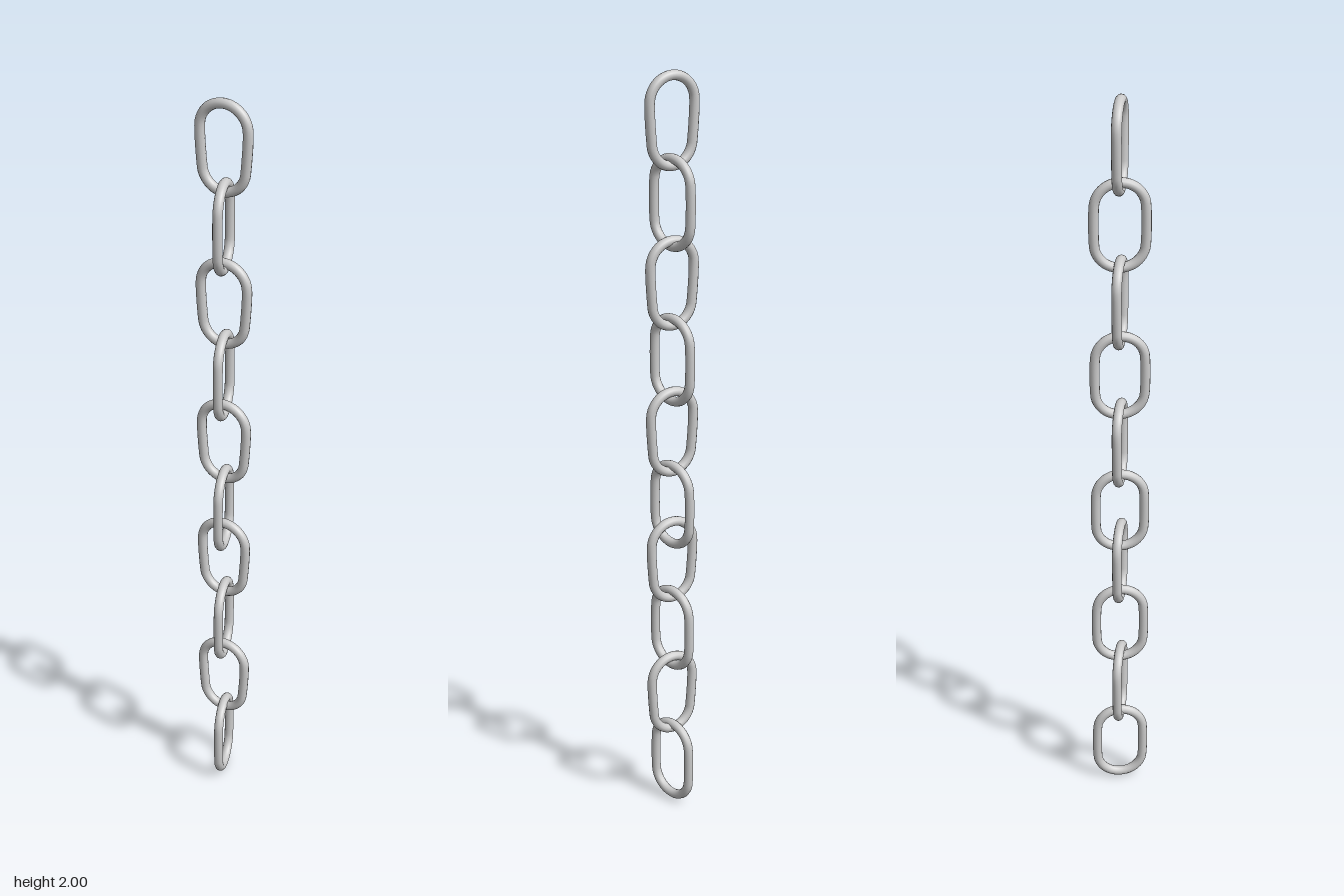
import * as THREE from 'three';

const WIRE = 0.0125;      // wire radius
const HALF_WIDTH = 0.0625; // centre line of the link
const HALF_HEIGHT = 0.109;

// Closed oblong wire loop in the XY plane; taper narrows its lower end
function linkGeometry(taper) {
  const points = [];
  const steps = 10;
  const straight = HALF_HEIGHT - HALF_WIDTH;
  for (const side of [1, -1]) {
    const radius = side > 0 ? HALF_WIDTH : HALF_WIDTH - taper;
    for (let i = 0; i <= steps; i++) {
      const a = (i / steps) * Math.PI;
      points.push(new THREE.Vector3(
        side * radius * Math.cos(a),
        side * (straight + HALF_WIDTH * Math.sin(a)),
        0
      ));
    }
  }
  const curve = new THREE.CatmullRomCurve3(points, true, 'centripetal');
  return new THREE.TubeGeometry(curve, 72, WIRE, 12, true);
}

export function createModel() {
  const chain = new THREE.Group();
  chain.name = 'chain';
  const material = new THREE.MeshStandardMaterial({ color: 0xcccccc });
  const crossGeometry = linkGeometry(0.005);
  const sideGeometry = linkGeometry(0);

  // Top edge of every link, from the highest down
  const tops = [2, 1.8, 1.597, 1.397, 1.204, 1.002, 0.845, 0.645, 0.45, 0.243];
  tops.forEach((top, i) => {
    const cross = i % 2 === 0;
    const link = new THREE.Mesh(cross ? crossGeometry : sideGeometry, material);
    link.name = cross ? 'crosswiseLink' : 'lengthwiseLink';
    // Crosswise links are slightly twisted, the others stand at a right angle to x
    link.rotation.y = cross ? -0.23 : Math.PI / 2;
    link.position.y = top - HALF_HEIGHT - WIRE;
    chain.add(link);
  });
  return chain;
}
